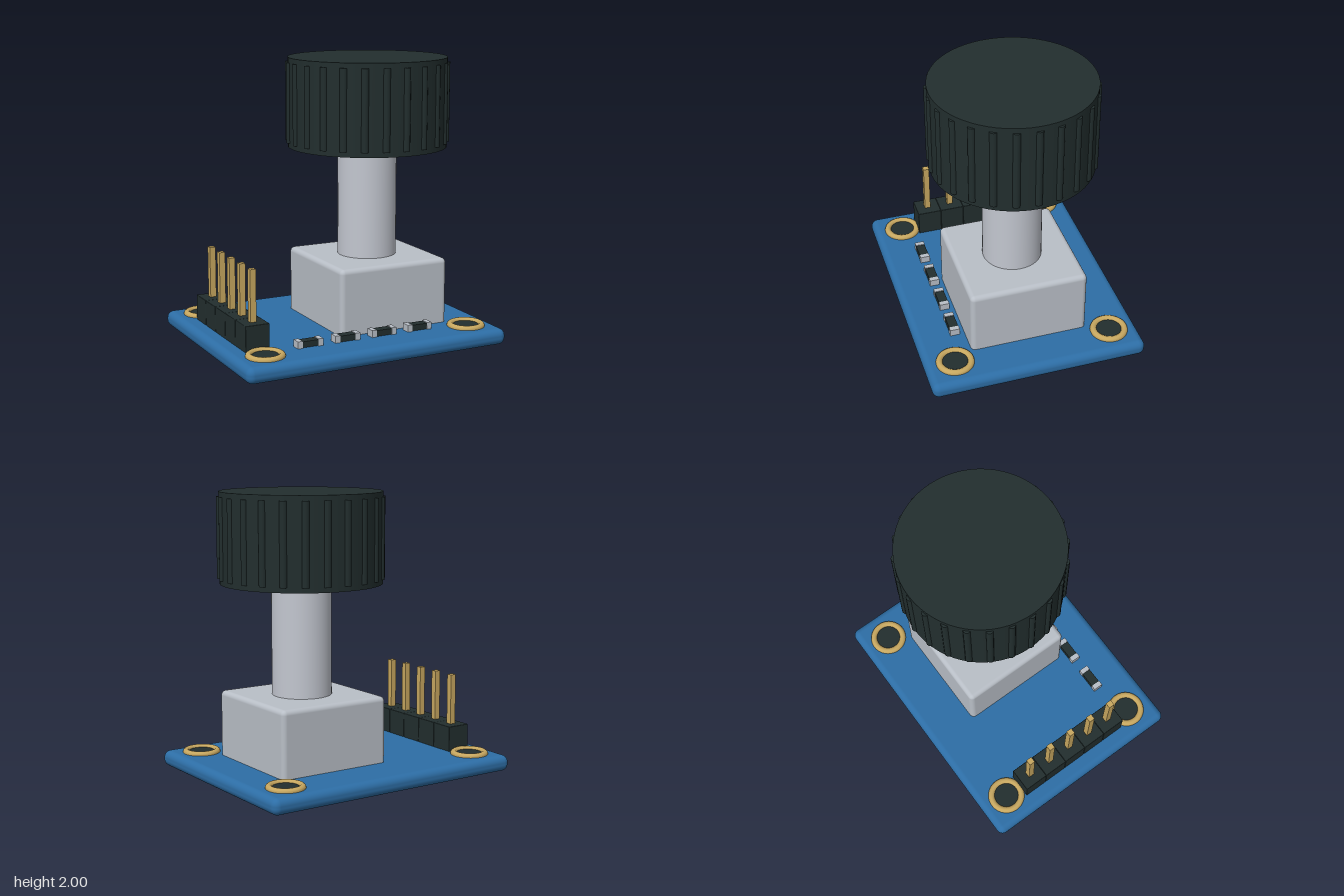
import * as THREE from 'three';
import { RoundedBoxGeometry } from 'three/addons/geometries/RoundedBoxGeometry.js';

const mat = (name, color) => {
  const m = new THREE.MeshStandardMaterial({ color });
  m.name = name;
  return m;
};

export function createModel() {
  const blue = mat('board blue', 0x2d6ea6);
  const black = mat('black plastic', 0x222e2e);
  const gold = mat('gold', 0xc8a860);
  const grey = mat('housing grey', 0xb9bfc7);
  const steel = mat('shaft steel', 0xc3c7d0);

  const root = new THREE.Group();
  root.name = 'rotaryEncoderModule';
  const add = (parent, name, geo, material, x, y, z) => {
    const m = new THREE.Mesh(geo, material);
    m.name = name;
    m.position.set(x, y, z);
    parent.add(m);
    return m;
  };
  const group = (name, x, y, z) => {
    const g = new THREE.Group();
    g.name = name;
    g.position.set(x, y, z);
    root.add(g);
    return g;
  };
  const top = 0.115; // upper face of the board

  // Circuit board
  add(root, 'board', new RoundedBoxGeometry(1.98, top, 1.55, 4, 0.05), blue, 0, top / 2, 0);

  // Plated mounting holes in the four corners
  const ringGeo = new THREE.TorusGeometry(0.111, 0.024, 10, 40).rotateX(Math.PI / 2);
  const holeGeo = new THREE.CylinderGeometry(0.1, 0.1, 0.012, 32);
  for (const x of [-0.778, 0.778]) {
    for (const z of [-0.57, 0.565]) {
      const hole = group('mountingHole', x, top, z);
      add(hole, 'ring', ringGeo, gold, 0, 0.004, 0);
      add(hole, 'hole', holeGeo, black, 0, 0.004, 0);
    }
  }

  // Pin header
  const blockGeo = new RoundedBoxGeometry(0.175, 0.19, 0.179, 1, 0.005);
  const pinGeo = new THREE.BoxGeometry(0.043, 0.5, 0.043);
  for (let i = -2; i <= 2; i++) {
    const pin = group('headerPin', -0.78, 0, i * 0.179);
    add(pin, 'block', blockGeo, black, 0, 0.202, 0);
    add(pin, 'pin', pinGeo, gold, 0, 0.41, 0);
  }

  // Surface-mount resistors along the front edge
  const chipGeo = new THREE.BoxGeometry(0.125, 0.042, 0.066);
  const capGeo = new THREE.BoxGeometry(0.036, 0.05, 0.07);
  for (let i = 0; i < 4; i++) {
    const r = group('resistor', -0.428 + i * 0.283, top, 0.492);
    add(r, 'chip', chipGeo, black, 0, 0.024, 0);
    for (const s of [-1, 1]) add(r, 'endCap', capGeo, grey, s * 0.077, 0.025, 0);
  }

  // Encoder housing and shaft
  const encoder = group('encoder', 0.28, 0, 0);
  add(encoder, 'housing', new RoundedBoxGeometry(0.845, 0.525, 0.845, 3, 0.035), grey, 0, 0.3225, 0);
  add(encoder, 'shaft', new THREE.CylinderGeometry(0.21, 0.21, 0.9, 48), steel, 0, 0.99, 0);

  // Ribbed knob
  const knob = group('knob', 0.28, 0, 0);
  add(knob, 'cap', new THREE.CylinderGeometry(0.565, 0.565, 0.635, 64), black, 0, 1.6825, 0);
  const ribGeo = new THREE.CylinderGeometry(0.027, 0.027, 0.565, 10);
  for (let i = 0; i < 24; i++) {
    const a = (i / 24) * Math.PI * 2;
    add(knob, 'rib', ribGeo, black, Math.cos(a) * 0.555, 1.682, Math.sin(a) * 0.555);
  }
  return root;
}
